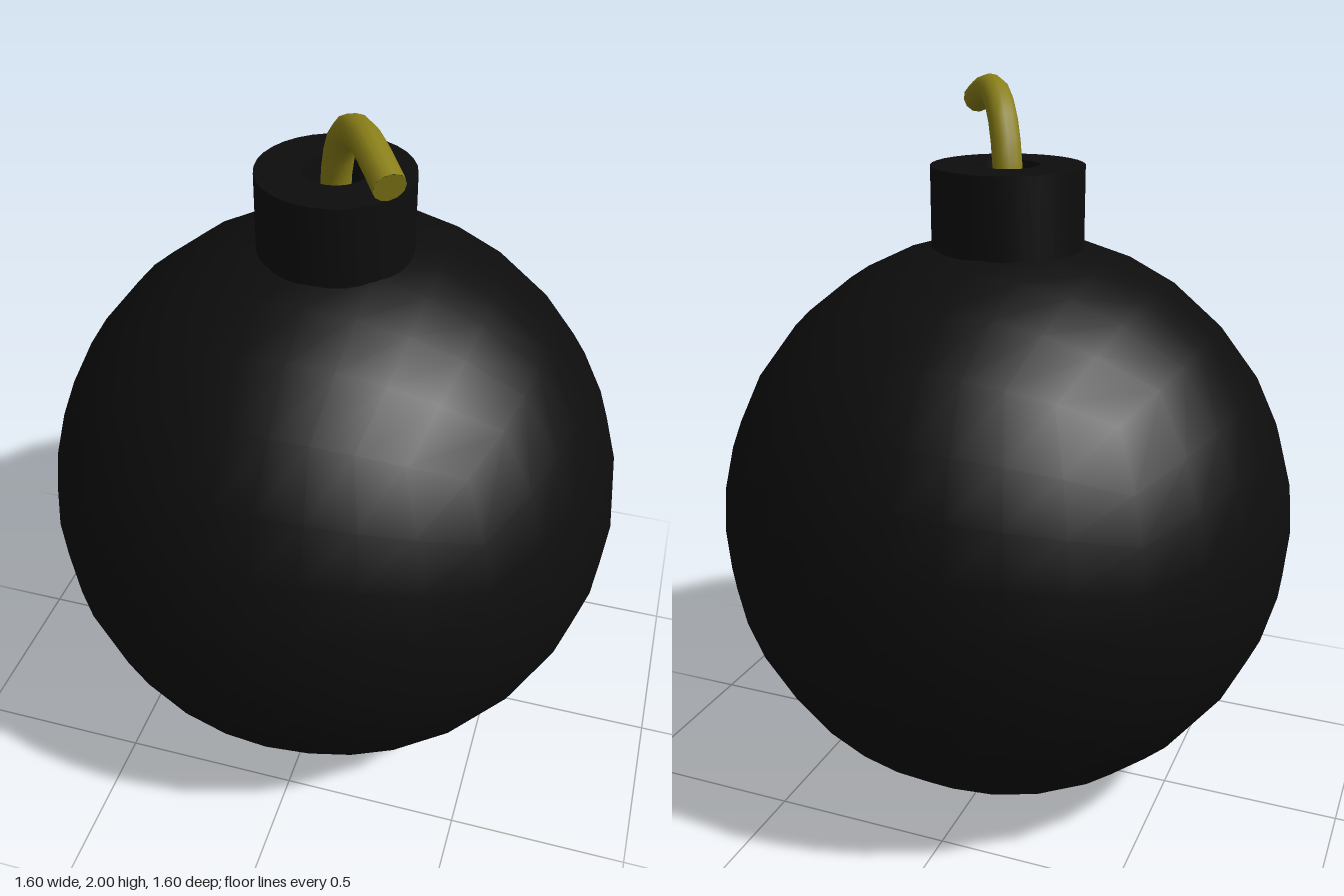
import * as THREE from 'three';
import { toCreasedNormals } from 'three/addons/utils/BufferGeometryUtils.js';

const black = new THREE.MeshStandardMaterial({ color: 0x0d0d0d });
const fuseColor = new THREE.MeshStandardMaterial({ color: 0x8a7f18 });

function addMesh(group, name, geometry, material) {
  const mesh = new THREE.Mesh(geometry, material);
  mesh.name = name;
  group.add(mesh);
  return mesh;
}

// Subdivided cube pushed out to a sphere, with rows eased towards the cube edges
function cubeSphere(radius) {
  const geometry = new THREE.BoxGeometry(2, 2, 2, 8, 8, 8);
  const rows = [0, 0.176, 0.374, 0.617, 1];
  const ease = (c) => Math.sign(c) * rows[Math.round(Math.abs(c) * 4)];
  const { position, normal } = geometry.attributes;
  const v = new THREE.Vector3();
  for (let i = 0; i < position.count; i++) {
    v.fromBufferAttribute(position, i);
    v.set(ease(v.x), ease(v.y), ease(v.z)).normalize();
    normal.setXYZ(i, v.x, v.y, v.z);
    position.setXYZ(i, v.x * radius, v.y * radius, v.z * radius);
  }
  return geometry;
}

export function createModel() {
  const group = new THREE.Group();

  // Round body
  addMesh(group, 'body', cubeSphere(0.8), black).position.y = 0.8;

  // Neck with a recessed hole for the fuse
  const profile = [[0.205, 1.54], [0.205, 1.785], [0.085, 1.785], [0.085, 1.68], [0, 1.68]]
    .map(([r, y]) => new THREE.Vector2(r, y));
  addMesh(group, 'neck', toCreasedNormals(new THREE.LatheGeometry(profile, 32), 0.6), black);

  // Bent fuse: distance along its lean and height
  const path = [[0, 1.67], [0.006, 1.78], [0.05, 1.885], [0.12, 1.945], [0.21, 1.96], [0.29, 1.945], [0.375, 1.92]]
    .map(([d, y]) => new THREE.Vector3(d * 0.57, y, d * 0.82));
  const curve = new THREE.CatmullRomCurve3(path);
  const fuse = new THREE.Group();
  fuse.name = 'fuse';
  addMesh(fuse, 'fuseCord', new THREE.TubeGeometry(curve, 10, 0.04, 12), fuseColor);
  const tip = addMesh(fuse, 'fuseTip', new THREE.CircleGeometry(0.04, 12), fuseColor);
  tip.position.copy(curve.getPoint(1));
  tip.quaternion.setFromUnitVectors(new THREE.Vector3(0, 0, 1), curve.getTangent(1));
  group.add(fuse);

  return group;
}
